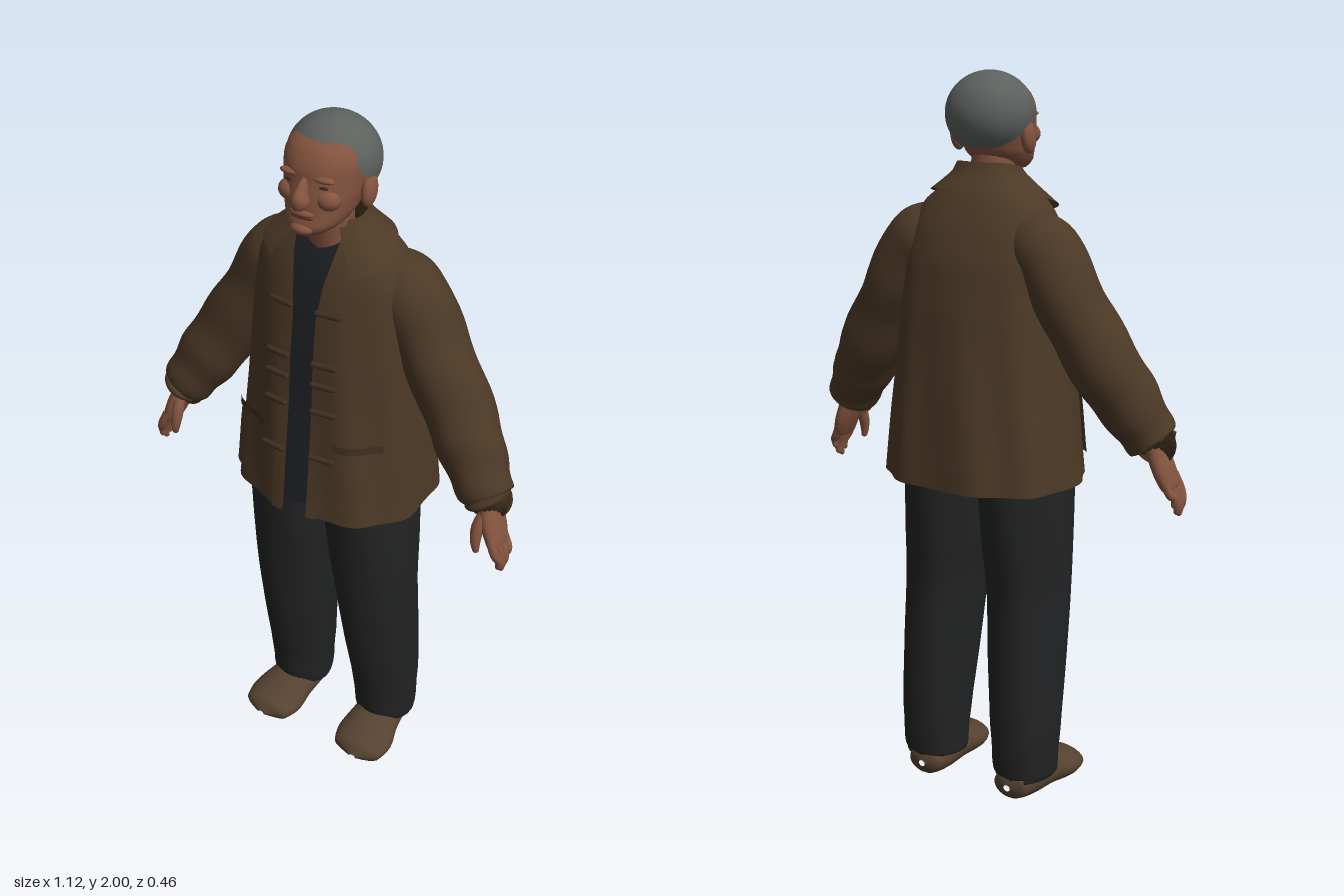
import * as THREE from 'three';
import { mergeVertices } from 'three/addons/utils/BufferGeometryUtils.js';

const mat = (name, color, side = THREE.FrontSide) => {
  const m = new THREE.MeshStandardMaterial({ color, side });
  m.name = name;
  return m;
};

// Smooth surface from a rule (u, v) -> [x, y, z]; welded where edges meet
function grid(fn, nu, nv) {
  const pos = [], idx = [];
  for (let j = 0; j <= nv; j++)
    for (let i = 0; i <= nu; i++) pos.push(...fn(i / nu, j / nv));
  for (let j = 0; j < nv; j++)
    for (let i = 0; i < nu; i++) {
      const a = j * (nu + 1) + i, b = a + 1, c = b + nu + 1, d = a + nu + 1;
      idx.push(a, b, c, a, c, d);
    }
  const g = new THREE.BufferGeometry();
  g.setAttribute('position', new THREE.Float32BufferAttribute(pos, 3));
  g.setIndex(idx);
  const w = mergeVertices(g, 1e-5);
  w.computeVertexNormals();
  return w;
}

// Elliptical rings along a path; points are [x, y, z, radiusSide, radiusRef]
function loft(pts, { ref = [0, 0, 1], nu = 20, nv = 24, fold = () => 0 } = {}) {
  const path = new THREE.CatmullRomCurve3(pts.map(p => new THREE.Vector3(p[0], p[1], p[2])));
  const rad = new THREE.CatmullRomCurve3(pts.map(p => new THREE.Vector3(p[3], p[4] ?? p[3], 0)));
  const R = new THREE.Vector3(...ref);
  return grid((u, v) => {
    const a = (u % 1) * Math.PI * 2, c = path.getPoint(v), r = rad.getPoint(v);
    const T = path.getTangent(v);
    const Z = R.clone().addScaledVector(T, -R.dot(T)).normalize();
    const S = T.clone().cross(Z), k = 1 + fold(a, v);
    return c.addScaledVector(S, Math.sin(a) * Math.max(r.x, 0.001) * k)
      .addScaledVector(Z, Math.cos(a) * Math.max(r.y, 0.001) * k).toArray();
  }, nu, nv);
}

// Value rows keyed on the first column, eased between rows
function sample(rows, y) {
  let i = 0;
  while (i < rows.length - 2 && y > rows[i + 1][0]) i++;
  const t = THREE.MathUtils.clamp((y - rows[i][0]) / (rows[i + 1][0] - rows[i][0]), 0, 1);
  return rows[i].map((p, k) => p + (rows[i + 1][k] - p) * t);
}

// Rounded cross-section: angle 0 is the front, growing toward +x
const pw = (s, n) => Math.sign(s) * Math.pow(Math.abs(s), 2 / n);
function section(rows, a, y, off = 0, n = 2) {
  const [, rx, zf, zb] = sample(rows, y);
  return [pw(Math.sin(a), n) * (rx + off), y,
    (zf + zb) / 2 + pw(Math.cos(a), n) * ((zf - zb) / 2 + off)];
}

// y, half width, front z, back z
const COAT = [
  [0.92, 0.275, 0.215, -0.23], [1.0, 0.267, 0.205, -0.224], [1.1, 0.258, 0.195, -0.215],
  [1.25, 0.243, 0.18, -0.2], [1.39, 0.232, 0.17, -0.186], [1.52, 0.222, 0.152, -0.166],
  [1.6, 0.212, 0.135, -0.14], [1.66, 0.178, 0.115, -0.112], [1.7, 0.13, 0.095, -0.088],
  [1.74, 0.085, 0.075, -0.06], [1.78, 0.072, 0.06, -0.045]];
const HEAD = [
  [1.735, 0.02, 0.145, 0.08], [1.745, 0.052, 0.165, 0.04], [1.765, 0.073, 0.17, 0.0],
  [1.79, 0.086, 0.163, -0.03], [1.83, 0.097, 0.158, -0.05], [1.87, 0.103, 0.149, -0.065],
  [1.9, 0.106, 0.145, -0.07], [1.92, 0.105, 0.137, -0.07], [1.945, 0.095, 0.122, -0.065],
  [1.965, 0.078, 0.095, -0.05], [1.985, 0.02, 0.04, 0.0]];
const OPENING = [[0.92, 0.035], [1.5, 0.035], [1.6, 0.045], [1.68, 0.06], [1.74, 0.065]];
const N = 2.4;
const edgeAngle = y => Math.asin(Math.pow(sample(OPENING, y)[1] / sample(COAT, y)[1], N / 2));
const coat = (a, y, off = 0) => {
  const drape = 0.006 * Math.sin(a * 9 + y * 3) * THREE.MathUtils.clamp((1.6 - y) * 2, 0, 1);
  return section(COAT, a, y, off + drape, N);
};
const mix = THREE.MathUtils.lerp;

export function createModel() {
  const model = new THREE.Group();
  model.name = 'standingMan';
  const skin = mat('skin', 0x84543f), hairGrey = mat('hairGrey', 0x5c615e, THREE.DoubleSide);
  const brown = mat('jacketBrown', 0x4c3926, THREE.DoubleSide);
  const trim = mat('trimBrown', 0x3f2f20, THREE.DoubleSide);
  const black = mat('trouserBlack', 0x222324), navy = mat('shirtBlack', 0x1e2024, THREE.DoubleSide);
  const shoeBrown = mat('shoeBrown', 0x564230), dark = mat('faceLine', 0x42251c);
  const add = (name, geo, m, at) => {
    const mesh = new THREE.Mesh(geo, m);
    mesh.name = name;
    if (at) mesh.position.set(...at);
    model.add(mesh);
    return mesh;
  };
  const blob = (name, m, at, r) => {
    const mesh = add(name, new THREE.SphereGeometry(1, 20, 14), m, at);
    mesh.scale.set(...r);
    return mesh;
  };

  // Jacket body, open at the front
  add('jacketBody', grid((u, v) => {
    const y = mix(0.92, 1.75, v), e = edgeAngle(y);
    return coat(mix(e, Math.PI * 2 - e, u), y);
  }, 90, 40), brown);
  // Turned-down collar
  add('collar', grid((u, v) => {
    const a = mix(0.5, Math.PI * 2 - 0.5, u), f = Math.pow((Math.cos(a) + 1) / 2, 2);
    return coat(a, mix(1.7 - 0.075 * f, 1.77 - 0.04 * f, v), mix(0.018, 0.008, v));
  }, 48, 6), brown);
  // Shirt front, dipping to a V at the neck
  add('shirt', grid((u, v) => {
    const a = mix(-0.75, 0.75, u);
    return coat(a, mix(0.94, 1.67 + 0.06 * Math.abs(a), v), -0.02);
  }, 20, 30), navy);

  for (const s of [1, -1]) {
    const side = s > 0 ? 'left' : 'right';
    const m = pts => pts.map(p => [p[0] * s, ...p.slice(1)]);

    // Front edge band, pocket and knotted closures
    const patch = (a0, a1, y0, y1, off) => grid((u, v) => {
      const y = mix(y0, y1, v), e = typeof a0 === 'function' ? a0(y) : a0;
      const t = s > 0 ? u : 1 - u;
      return coat(s * mix(e, e + a1, t), y, off);
    }, 10, 24);
    add(side + 'Placket', patch(edgeAngle, 0.1, 0.92, 1.62, 0.007), brown);
    add(side + 'Pocket', patch(0.36, 0.56, 0.97, 1.15, 0.009), brown);
    add(side + 'PocketWelt', patch(0.34, 0.6, 1.15, 1.17, 0.013), trim);
    for (const y of [1.53, 1.39, 1.33, 1.25, 1.11]) {
      const p = coat(s * (edgeAngle(y) + 0.12), y, 0.008);
      const bar = add(side + 'Closure', new THREE.CapsuleGeometry(0.008, 0.06, 4, 8), trim, p);
      bar.rotation.z = Math.PI / 2;
      bar.rotation.y = s * 0.12;
    }

    // Sleeve with soft creases
    add(side + 'Sleeve', loft(m([
      [0.1, 1.62, -0.02, 0.05, 0.06], [0.19, 1.545, -0.03, 0.098, 0.098],
      [0.285, 1.39, -0.025, 0.093, 0.095], [0.385, 1.225, 0.0, 0.094, 0.09],
      [0.45, 1.12, 0.028, 0.08, 0.078], [0.482, 1.068, 0.04, 0.07, 0.07],
      [0.478, 1.075, 0.04, 0.03, 0.03]]),
      { nu: 28, nv: 48, fold: (a, v) => 0.035 * Math.sin(v * 34 + 2 * Math.cos(a)) * Math.sin(Math.PI * v) }), brown);

    // Hand: palm, four fingers, thumb
    add(side + 'Palm', loft(m([
      [0.465, 1.11, 0.04, 0.03, 0.036], [0.49, 1.05, 0.042, 0.028, 0.038],
      [0.513, 0.99, 0.05, 0.026, 0.048], [0.53, 0.945, 0.058, 0.02, 0.042],
      [0.533, 0.935, 0.058, 0.004, 0.01]])), skin);
    for (let i = 0; i < 4; i++) {
      const z = 0.024 + i * 0.022, drop = [0.03, 0.008, 0, 0.015][i], zt = mix(z, 0.07, 0.25);
      add(side + 'Finger', loft(m([
        [0.522, 0.975, z, 0.012], [0.542, 0.93, z + 0.004, 0.0125],
        [0.552, 0.89 + drop, zt, 0.011], [0.55, 0.868 + drop, zt, 0.007],
        [0.549, 0.863 + drop, zt, 0.001]]), { nu: 10, nv: 12 }), skin);
    }
    add(side + 'Thumb', loft(m([
      [0.493, 1.04, 0.06, 0.014], [0.485, 0.995, 0.088, 0.017], [0.487, 0.95, 0.1, 0.013],
      [0.49, 0.925, 0.1, 0.008], [0.49, 0.92, 0.1, 0.001]]), { nu: 10, nv: 12 }), skin);

    // Trouser leg, gathering at the ankle
    add(side + 'TrouserLeg', loft(m([
      [0.15, 0.08, -0.04, 0.03, 0.03], [0.15, 0.065, -0.04, 0.087, 0.088],
      [0.148, 0.2, -0.035, 0.097, 0.106], [0.141, 0.4, -0.013, 0.106, 0.123],
      [0.134, 0.6, 0.008, 0.114, 0.13], [0.126, 0.75, 0.01, 0.123, 0.142],
      [0.12, 0.9, 0.01, 0.126, 0.152], [0.12, 1.02, 0.01, 0.11, 0.145]]),
      { nu: 32, nv: 60, fold: (a, v) => 0.018 * Math.sin(a * 5 + v * 6)
        + 0.025 * Math.sin(v * 60 + 3 * Math.sin(a)) * Math.max(0, 1 - v * 2.8) }), black);

    // Soft shoe with a flat underside
    const shoe = loft(m([
      [0.143, 0.04, -0.13, 0.01, 0.01], [0.143, 0.042, -0.115, 0.05, 0.04],
      [0.147, 0.045, -0.05, 0.066, 0.055], [0.153, 0.045, 0.03, 0.075, 0.056],
      [0.16, 0.034, 0.1, 0.088, 0.045], [0.165, 0.028, 0.155, 0.074, 0.034],
      [0.166, 0.025, 0.182, 0.01, 0.006]]), { ref: [0, 1, 0], nu: 28 });
    const p = shoe.attributes.position;
    for (let i = 0; i < p.count; i++) p.setY(i, Math.max(p.getY(i), 0.003));
    shoe.computeVertexNormals();
    add(side + 'Shoe', shoe, shoeBrown);

    // Ear, cheek, brow and narrowed eye
    blob(side + 'Ear', skin, [s * 0.108, 1.832, 0.028], [0.018, 0.044, 0.027]).rotation.x = -0.2;
    blob(side + 'Cheek', skin, [s * 0.052, 1.832, 0.125], [0.034, 0.028, 0.028]);
    blob(side + 'Brow', skin, [s * 0.045, 1.885, 0.133], [0.032, 0.009, 0.014]);
    blob(side + 'Eye', dark, [s * 0.043, 1.866, 0.138], [0.019, 0.004, 0.006]);
  }

  // Neck and head
  add('neck', loft([[0, 1.6, 0.01, 0.06], [0, 1.7, 0.025, 0.058], [0, 1.82, 0.04, 0.062]]), skin);
  add('head', grid((u, v) => section(HEAD, (u % 1) * Math.PI * 2, mix(1.735, 1.985, v), 0, 2.2), 36, 30), skin);
  add('nose', loft([
    [0, 1.822, 0.15, 0.008, 0.008], [0, 1.832, 0.163, 0.024, 0.03],
    [0, 1.85, 0.158, 0.016, 0.025], [0, 1.88, 0.14, 0.009, 0.012]], { nu: 16, nv: 14 }), skin);
  blob('upperLip', skin, [0, 1.797, 0.157], [0.034, 0.01, 0.014]);
  blob('mouth', dark, [0, 1.786, 0.159], [0.033, 0.003, 0.007]);
  blob('chin', skin, [0, 1.757, 0.158], [0.032, 0.016, 0.022]);

  // Short hair, cut high at the forehead and low at the nape
  const LINE = [[0, 0.64], [0.6, 0.58], [0.95, 0.3], [1.2, -0.15], [1.5, -0.25], [1.9, -0.6],
    [2.4, -0.85], [3.2, -0.88]];
  add('hair', grid((u, v) => {
    const a = (u % 1) * Math.PI * 2, d = Math.min(a, Math.PI * 2 - a);
    const ph = mix(sample(LINE, d)[1], Math.PI / 2, v), c = Math.cos(ph);
    return [0.12 * c * Math.sin(a), 1.89 + 0.11 * Math.sin(ph), 0.014 + 0.113 * c * Math.cos(a)];
  }, 48, 18), hairGrey);
  return model;
}
